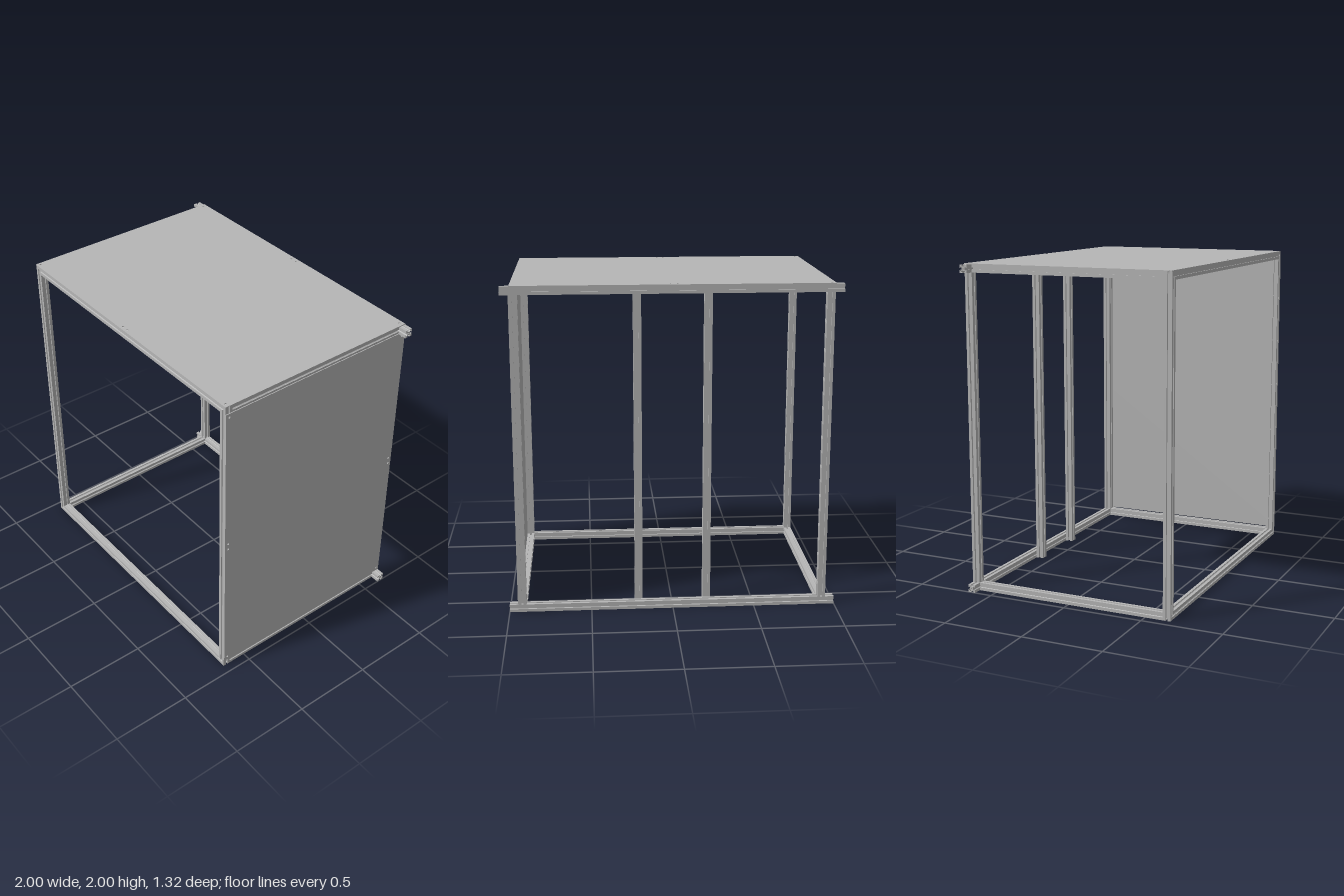
import * as THREE from 'three';

const S = 0.048, H = S / 2;      // beam profile width
const T = 0.005;                 // panel thickness
const TOP = 2 - T;               // top of the frame
const X = 0.945, Z = 0.66;       // outer half sizes of the frame

// Slotted square profile with a centre bore
function profileShape() {
  const side = [
    [H, H], [0.006, H], [0.006, 0.0195], [0.013, 0.0195], [0.013, 0.0165], [0.007, 0.0105],
    [-0.007, 0.0105], [-0.013, 0.0165], [-0.013, 0.0195], [-0.006, 0.0195], [-0.006, H],
  ];
  const pts = [];
  for (let i = 0; i < 4; i++) {
    for (const [x, y] of side) {
      pts.push(new THREE.Vector2(x, y).rotateAround(new THREE.Vector2(), i * Math.PI / 2));
    }
  }
  const shape = new THREE.Shape(pts);
  shape.holes.push(new THREE.Path().absarc(0, 0, 0.004, 0, Math.PI * 2, true));
  return shape;
}

export function createModel() {
  const model = new THREE.Group();
  const grey = new THREE.MeshStandardMaterial({ color: 0xb6b6b6 });
  grey.name = 'aluminium grey';
  const profile = profileShape();

  // Beam of given length centred at pos; mitred ends are longest on the "out" side
  function beam(name, length, pos, dir, out, mitred = false) {
    const geo = new THREE.ExtrudeGeometry(profile, { depth: length, bevelEnabled: false, curveSegments: 4 });
    geo.translate(0, 0, -length / 2);
    if (mitred) {
      const p = geo.attributes.position;
      for (let i = 0; i < p.count; i++) {
        p.setZ(i, p.getZ(i) + Math.sign(p.getZ(i)) * (p.getY(i) - H));
      }
      geo.computeVertexNormals();
    }
    const d = new THREE.Vector3(...dir), o = new THREE.Vector3(...out);
    const basis = new THREE.Matrix4().makeBasis(new THREE.Vector3().crossVectors(o, d), o, d);
    geo.applyMatrix4(basis);
    const mesh = new THREE.Mesh(geo, grey);
    mesh.name = name;
    mesh.position.set(...pos);
    model.add(mesh);
  }

  // Thin sheet with screw holes, drawn in its own plane and extruded by T
  function panel(name, x0, x1, y0, y1, holes) {
    const shape = new THREE.Shape([[x0, y0], [x1, y0], [x1, y1], [x0, y1]].map(p => new THREE.Vector2(...p)));
    for (const [x, y] of holes) {
      shape.holes.push(new THREE.Path().absarc(x, y, 0.007, 0, Math.PI * 2, true));
    }
    const geo = new THREE.ExtrudeGeometry(shape, { depth: T, bevelEnabled: false, curveSegments: 8 });
    const mesh = new THREE.Mesh(geo, grey);
    mesh.name = name;
    model.add(mesh);
    return mesh;
  }

  const zFront = Z - H, zBack = -Z + H, mid = TOP / 2;
  const alongX = [1, 0, 0], alongY = [0, 1, 0], alongZ = [0, 0, 1];

  // Left and right: front post, back post, middle post
  for (const s of [-1, 1]) {
    const label = s > 0 ? 'left' : 'right';
    beam(label + 'FrontPost', TOP, [s * (X - H), mid, zFront], alongY, [s, 0, 0], true);
    beam(label + 'BackPost', TOP - 2 * S, [s * (X - H), mid, zBack], alongY, [s, 0, 0]);
    beam(label + 'MiddlePost', TOP, [s * 0.209, mid, zBack + S], alongY, [s, 0, 0]);
  }

  // Bottom and top: front beam, long back beam, two side beams
  for (const s of [-1, 1]) {
    const label = s > 0 ? 'top' : 'bottom';
    const y = s > 0 ? TOP - H : H;
    beam(label + 'FrontBeam', 2 * X, [0, y, zFront], alongX, [0, s, 0], true);
    beam(label + 'BackBeam', 2, [0, y, zBack], alongX, [0, s, 0]);
    beam(label + 'LeftBeam', 2 * (Z - S), [X - H, y, 0], alongZ, [0, s, 0]);
    beam(label + 'RightBeam', 2 * (Z - S), [-X + H, y, 0], alongZ, [0, s, 0]);
  }

  // Top panel, lying on the frame
  const topHoles = [], sideHoles = [];
  for (const z of [-0.638, 0.638]) {
    for (const x of [-0.929, -0.026, 0.016, 0.92]) topHoles.push([x, z]);
    for (const y of [0.076, 0.982, 1.022, 1.928]) sideHoles.push([z, y]);
  }
  const topPanel = panel('topPanel', -0.95, X, -Z, Z, topHoles);
  topPanel.rotation.x = -Math.PI / 2;
  topPanel.position.y = TOP;

  // Side panel, on the outside of the left posts
  const sidePanel = panel('sidePanel', -Z, Z, 0.052, 1.952, sideHoles);
  sidePanel.rotation.y = Math.PI / 2;
  sidePanel.position.x = X;

  return model;
}
